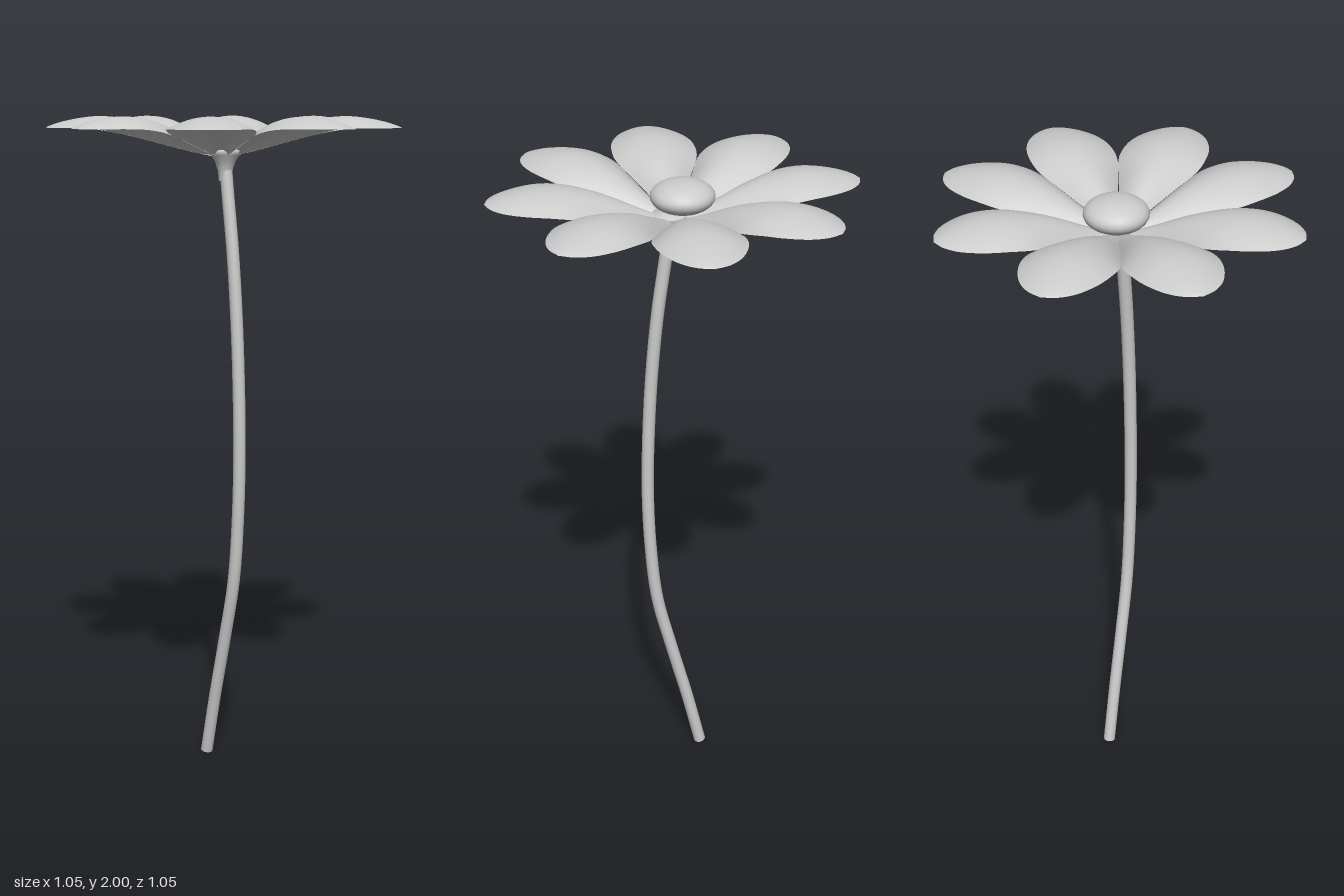
import * as THREE from 'three';

const material = new THREE.MeshStandardMaterial({ color: 0xcccccc });
const sheetMaterial = new THREE.MeshStandardMaterial({ color: 0xcccccc, side: THREE.DoubleSide });

function mesh(name, geometry, mat = material) {
  const m = new THREE.Mesh(geometry, mat);
  m.name = name;
  return m;
}

// Petal along +z: each row is [distance from centre, half width, ridge height, edge height]
const PETAL = [
  [0.02, 0.012, 1.885, 1.88], [0.09, 0.036, 1.915, 1.895], [0.2, 0.082, 1.965, 1.925],
  [0.29, 0.118, 1.99, 1.948], [0.36, 0.122, 1.997, 1.96], [0.42, 0.109, 1.992, 1.963],
  [0.475, 0.08, 1.981, 1.963], [0.51, 0.042, 1.97, 1.963], [0.525, 0, 1.963, 1.963],
];

function petalGeometry() {
  const spline = (f) => new THREE.CatmullRomCurve3(PETAL.map(f), false, 'catmullrom');
  const edge = spline(([r, w, , e]) => new THREE.Vector3(w, e, r));
  const ridge = spline(([r, , h]) => new THREE.Vector3(0, h, r));
  const g = new THREE.PlaneGeometry(2, 1, 16, 36);
  const p = g.attributes.position;
  for (let i = 0; i < p.count; i++) {
    const s = p.getX(i);
    const t = 0.5 - p.getY(i);
    const a = edge.getPoint(t);
    const b = ridge.getPoint(t);
    // arched cross-section, highest along the middle
    p.setXYZ(i, a.x * s, b.y + (a.y - b.y) * s * s, a.z);
  }
  g.computeVertexNormals();
  return g;
}

export function createModel() {
  const flower = new THREE.Group();
  flower.name = 'flower';

  // Bent stem with a closed foot
  const path = new THREE.CatmullRomCurve3([
    [-0.082, 0.004], [-0.038, 0.2], [0.012, 0.4], [0.058, 0.6], [0.078, 0.8], [0.085, 1],
    [0.081, 1.2], [0.07, 1.4], [0.051, 1.6], [0.023, 1.8], [0.012, 1.89],
  ].map(([x, y]) => new THREE.Vector3(x, y, 0)));
  flower.add(mesh('stem', new THREE.TubeGeometry(path, 60, 0.019, 12)));
  const foot = mesh('stemFoot', new THREE.CircleGeometry(0.019, 12));
  foot.position.copy(path.getPoint(0));
  foot.lookAt(foot.position.clone().sub(path.getTangent(0)));
  flower.add(foot);

  // Flare where the stem meets the petals
  const calyx = mesh('calyx', new THREE.LatheGeometry(
    [[0.019, 1.81], [0.022, 1.84], [0.03, 1.865], [0.042, 1.885], [0.05, 1.9], [0, 1.91]]
      .map(([x, y]) => new THREE.Vector2(x, y)), 20));
  calyx.position.x = 0.014;
  flower.add(calyx);

  // Ring of eight petals
  const petal = petalGeometry();
  const petals = new THREE.Group();
  petals.name = 'petals';
  for (let i = 0; i < 8; i++) {
    const m = mesh('petal', petal, sheetMaterial);
    m.rotation.y = 0.045 + (i * Math.PI) / 4;
    petals.add(m);
  }
  flower.add(petals);

  // Domed flower centre
  const centre = mesh('flowerCentre', new THREE.SphereGeometry(0.091, 24, 16));
  centre.scale.y = 0.5;
  centre.position.set(-0.02, 1.948, 0);
  flower.add(centre);

  return flower;
}
